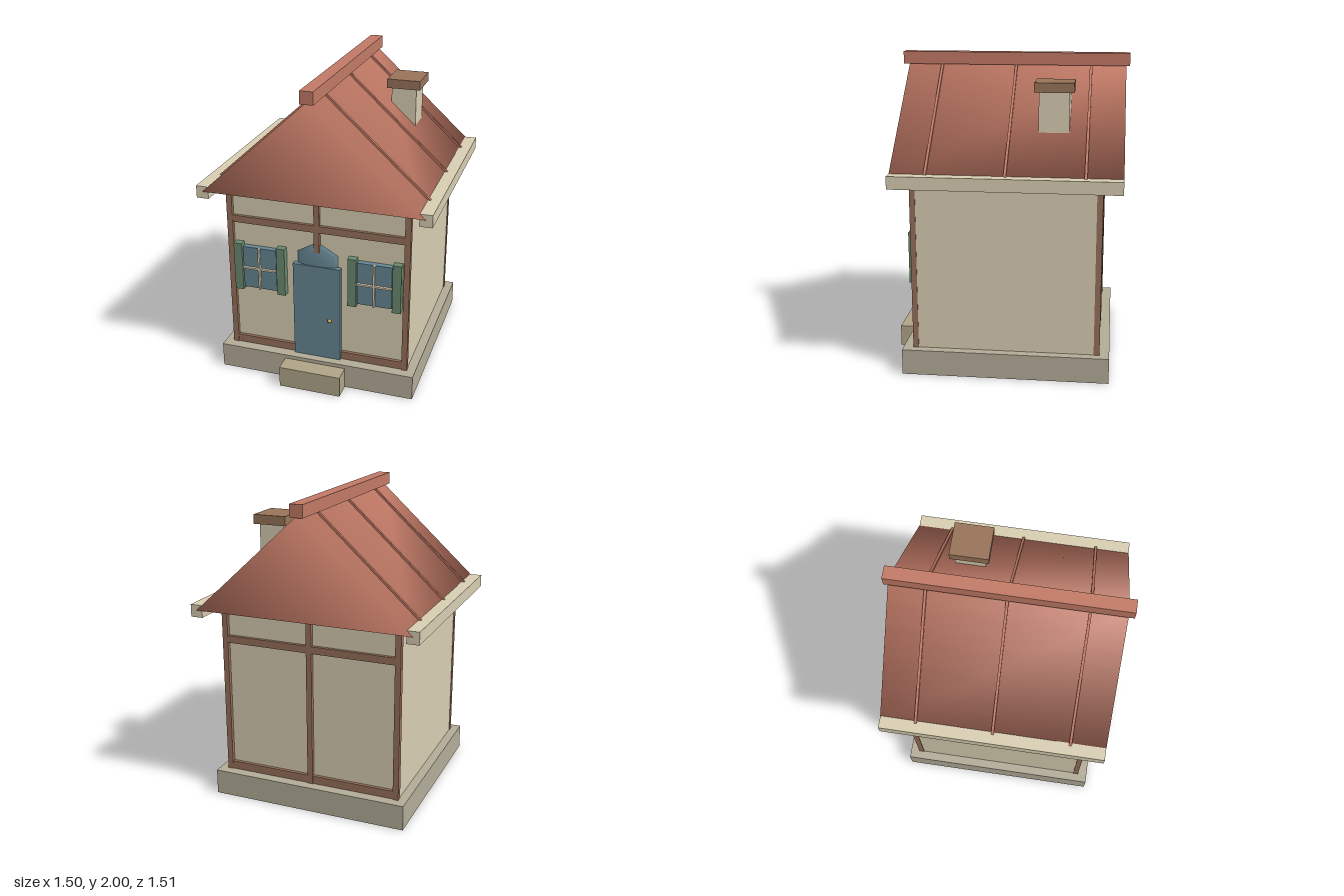
import * as THREE from 'three';

const mat = (color, extra = {}) => new THREE.MeshStandardMaterial({ color, ...extra });
const M = {
  plaster: mat(0xd8ceb2), stone: mat(0xb3ac98), step: mat(0xb0a588), wood: mat(0x96705a),
  roof: mat(0xc27a66), door: mat(0x668692), leaf: mat(0x6b8a70), cap: mat(0x98745a), brass: mat(0xc9a55c),
};
const ZC = -0.015; // centre of the house along z

export function createModel() {
  const house = new THREE.Group();
  house.name = 'cottage';

  const add = (name, geometry, material, parent = house) => {
    const mesh = new THREE.Mesh(geometry, material);
    mesh.name = name;
    parent.add(mesh);
    return mesh;
  };
  // Box given by its limits on each axis
  const box = (name, material, [x0, x1], [y0, y1], [z0, z1], parent) => {
    const mesh = add(name, new THREE.BoxGeometry(x1 - x0, y1 - y0, z1 - z0), material, parent);
    mesh.position.set((x0 + x1) / 2, (y0 + y1) / 2, (z0 + z1) / 2);
    return mesh;
  };

  // Base, step and walls
  box('base', M.stone, [-0.655, 0.655], [0, 0.165], [-0.673, 0.643]);
  box('step', M.step, [-0.205, 0.205], [0, 0.14], [0.6, 0.757]);
  box('walls', M.plaster, [-0.597, 0.597], [0.165, 1.29], [-0.587, 0.557]);

  // Timber frame on the front and back walls
  for (const [side, z] of [['front', [0.545, 0.58]], ['back', [-0.612, -0.575]]]) {
    const frame = new THREE.Group();
    frame.name = side + 'TimberFrame';
    house.add(frame);
    for (const s of [-1, 1])
      box('cornerPost', M.wood, [s * 0.5825 - 0.0185, s * 0.5825 + 0.0185], [0.165, 1.288], z, frame);
    box('middlePost', M.wood, [-0.018, 0.018], [0.165, 1.288], z, frame);
    const railZ = [z[0] + 0.003, z[1] - 0.003];
    box('upperRail', M.wood, [-0.565, 0.565], [1.053, 1.1], railZ, frame);
    box('lowerRail', M.wood, [-0.565, 0.565], [0.167, 0.22], railZ, frame);
  }

  // Roof: a prism with shared corners, so its shading is smooth
  const W = 0.71, EAVE = 1.285, TOP = 1.935, ZF = 0.685, ZB = -0.732;
  const roof = new THREE.BufferGeometry();
  roof.setAttribute('position', new THREE.Float32BufferAttribute(
    [ZF, ZB].flatMap((z) => [-W, EAVE, z, W, EAVE, z, 0, TOP, z]), 3));
  roof.setIndex([0, 1, 2, 4, 3, 5, 1, 4, 5, 1, 5, 2, 3, 0, 2, 3, 2, 5, 0, 3, 4, 0, 4, 1]);
  roof.computeVertexNormals();
  add('roof', roof, M.roof);
  box('ridgeBeam', M.roof, [-0.042, 0.042], [1.92, 2], [-0.755, 0.719]);

  // Battens down both slopes, and the gutters
  const slope = Math.atan2(TOP - EAVE, W);
  for (const s of [-1, 1]) {
    for (const z of [-0.507, -0.023, 0.463]) {
      const batten = add('roofBatten', new THREE.BoxGeometry(0.93, 0.024, 0.017), M.roof);
      batten.position.set(s * 0.347, TOP - 0.347 * Math.tan(slope), z);
      batten.rotation.z = -s * slope;
    }
    box('gutter', M.plaster, [s * 0.71 - 0.04, s * 0.71 + 0.04], [1.24, 1.32], [ZB + 0.001, ZF - 0.001]);
  }

  // Chimney
  box('chimneyStack', M.plaster, [0.26, 0.425], [1.4, 1.8], [-0.393, -0.203]);
  box('chimneyCap', M.cap, [0.234, 0.454], [1.795, 1.855], [-0.42, -0.176]);

  // Door with a faceted arch above it
  box('door', M.door, [-0.157, 0.157], [0.165, 0.825], [0.55, 0.592]);
  const arch = add('doorArch', new THREE.SphereGeometry(0.155, 6, 6).rotateX(Math.PI / 2)
    .rotateZ(Math.PI / 6), M.door);
  arch.geometry.computeBoundingBox();
  // Keep a corner pointing straight up
  if (arch.geometry.boundingBox.max.y < 0.15) arch.geometry.rotateZ(Math.PI / 6);
  arch.scale.z = 0.2;
  arch.position.set(0, 0.825, 0.557);
  const knob = add('doorKnob', new THREE.SphereGeometry(0.014, 8, 6), M.brass);
  knob.position.set(0.09, 0.455, 0.605);

  // Windows with glazing bars and a pair of shutters
  for (const s of [-1, 1]) {
    const win = new THREE.Group();
    win.name = s > 0 ? 'leftWindow' : 'rightWindow';
    win.position.set(s * 0.382, 0.752, 0);
    house.add(win);
    box('pane', M.door, [-0.112, 0.112], [-0.144, 0.144], [0.55, 0.595], win);
    box('uprightBar', M.plaster, [-0.006, 0.006], [-0.144, 0.144], [0.59, 0.613], win);
    box('crossBar', M.plaster, [-0.112, 0.112], [-0.006, 0.006], [0.59, 0.612], win);
    for (const t of [-1, 1])
      box('shutter', M.leaf, [t * 0.145 - 0.028, t * 0.145 + 0.028], [-0.165, 0.165], [0.555, 0.603], win);
  }

  return house;
}
